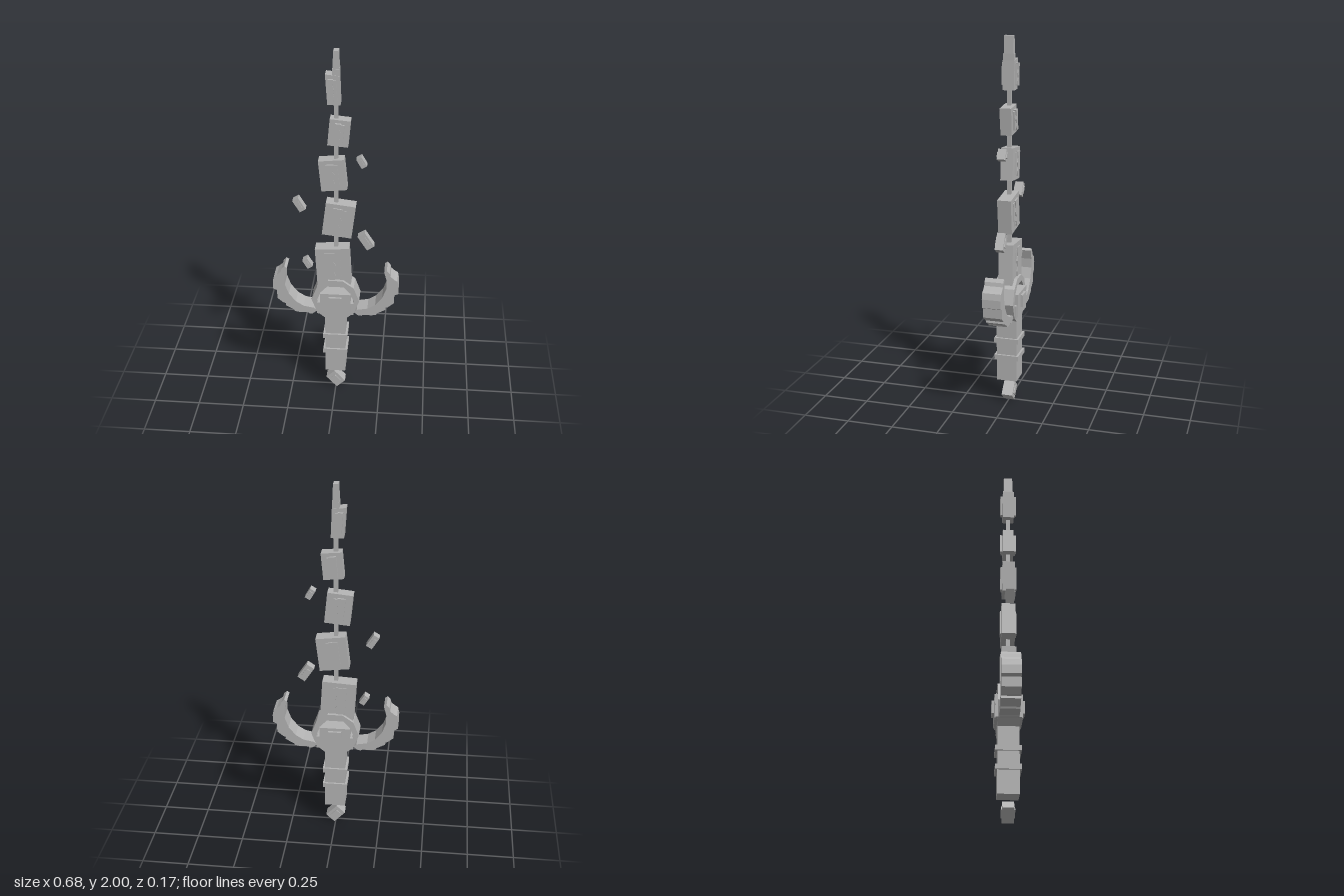
import * as THREE from 'three';

const stone = new THREE.MeshStandardMaterial({ color: 0xb4b4b4 });
stone.name = 'grey stone';

export function createModel() {
  const model = new THREE.Group();
  model.name = 'shatteredSword';

  function add(name, geometry, parent = model) {
    const mesh = new THREE.Mesh(geometry, stone);
    mesh.name = name;
    parent.add(mesh);
    return mesh;
  }
  function box(name, w, h, d, x = 0, y = 0, parent = model) {
    const mesh = add(name, new THREE.BoxGeometry(w, h, d), parent);
    mesh.position.set(x, y, 0);
    return mesh;
  }
  // Flat outline extruded evenly to both sides of z = 0
  function slab(name, points, depth, parent = model, hole) {
    const toVectors = list => list.map(([x, y]) => new THREE.Vector2(x, y));
    const shape = new THREE.Shape(toVectors(points));
    if (hole) shape.holes.push(new THREE.Path(toVectors(hole)));
    const geometry = new THREE.ExtrudeGeometry(shape, { depth, bevelEnabled: false });
    geometry.translate(0, 0, -depth / 2);
    return add(name, geometry, parent);
  }
  const mirror = points => points.map(([x, y]) => [-x, y]).reverse();

  // Raised panel on both faces, split by a jagged crack
  function panel(parent, w, h, depth) {
    const a = w / 2, b = h / 2;
    const crack = [[0.1, -1], [0.3, -0.6], [0.1, -0.3], [0.4, 0.1], [0.15, 0.4], [0.35, 1]]
      .map(([x, y]) => [x * a, y * b]);
    slab('crackedPanel', [[-a, -b], ...crack, [-a, b]], depth, parent);
    box('panelBase', w, h * 0.9, depth - 0.008, 0, 0, parent);
  }

  // Grip with two bands
  box('grip', 0.112, 0.36, 0.112, 0, 0.313);
  for (const y of [0.271, 0.369]) box('gripBand', 0.134, 0.027, 0.134, 0, y);

  // Guard ring around a central block with a gem
  const ringOuter = [[0.056, 0.485], [0.1, 0.52], [0.13, 0.6], [0.1, 0.68], [0.04, 0.722]];
  const ringInner = [[0.05, 0.53], [0.08, 0.55], [0.1, 0.6], [0.08, 0.647], [0.045, 0.685]];
  slab('guardRing', [...ringOuter, ...mirror(ringOuter)], 0.112, model,
    [...ringInner, ...mirror(ringInner)]);
  box('guardBlockLower', 0.2, 0.07, 0.134, 0, 0.553);
  box('guardBlock', 0.166, 0.127, 0.144, 0, 0.5835);
  box('guardGem', 0.072, 0.068, 0.17, 0, 0.596);

  // Stepped crescent horns
  const horn = [
    [0.1, 0.525], [0.125, 0.505], [0.143, 0.504], [0.148, 0.51], [0.2, 0.51], [0.223, 0.515],
    [0.227, 0.524], [0.274, 0.55], [0.272, 0.563], [0.286, 0.567], [0.318, 0.594],
    [0.32, 0.645], [0.332, 0.65], [0.341, 0.655], [0.341, 0.7], [0.334, 0.733],
    [0.318, 0.742], [0.297, 0.76], [0.292, 0.78], [0.276, 0.797], [0.262, 0.787],
    [0.276, 0.735], [0.276, 0.684], [0.255, 0.626], [0.217, 0.578], [0.175, 0.552], [0.117, 0.541],
  ];
  slab('leftHorn', horn, 0.1);
  slab('rightHorn', mirror(horn), 0.1);

  // Rod holding the broken blade together
  box('bladeRod', 0.022, 1.1, 0.022, 0, 1.24);

  // Blade pieces: x, y, width, height, depth, tilt
  const pieces = [
    [-0.014, 0.799, 0.182, 0.22, 0.078, 0.06],
    [0.016, 1.08, 0.158, 0.187, 0.074, -0.12],
    [-0.016, 1.338, 0.134, 0.17, 0.066, 0.1],
    [0.016, 1.573, 0.106, 0.143, 0.06, -0.09],
  ];
  for (const [x, y, w, h, d, tilt] of pieces) {
    const piece = new THREE.Group();
    piece.name = 'bladePiece';
    piece.position.set(x, y, 0);
    piece.rotation.z = tilt;
    model.add(piece);
    box('bladeBody', w, h, d, 0, 0, piece);
    panel(piece, w * 0.46, h * 0.76, 0.088);
  }

  // Blade tip
  slab('tipBody', [[-0.042, 1.724], [0.024, 1.724], [0.018, 1.875], [-0.053, 1.883]], 0.062);
  slab('tipPoint', [[-0.022, 1.8], [0.021, 1.8], [0.013, 2], [-0.013, 2]], 0.048);
  box('tipStep', 0.036, 0.06, 0.056, 0, 1.88);
  const tipPanel = new THREE.Group();
  tipPanel.name = 'tipPanel';
  tipPanel.position.set(-0.015, 1.803, 0);
  tipPanel.rotation.z = 0.07;
  model.add(tipPanel);
  panel(tipPanel, 0.04, 0.115, 0.088);

  // Floating shards and loose pommel: x, y, width, height, depth, tilt
  const shards = [
    ['shard', 0.132, 1.41, 0.031, 0.057, 0.044, 0.53],
    ['shard', -0.194, 1.155, 0.036, 0.075, 0.044, 0.55],
    ['shard', 0.16, 0.953, 0.046, 0.093, 0.044, 0.58],
    ['shard', -0.154, 0.803, 0.031, 0.055, 0.044, 0.55],
    ['pommel', 0, 0.0545, 0.064, 0.087, 0.06, 0.75],
  ];
  for (const [name, x, y, w, h, d, tilt] of shards) {
    const shard = new THREE.Group();
    shard.name = name;
    shard.position.set(x, y, 0);
    shard.rotation.z = tilt;
    model.add(shard);
    box(name + 'Body', w, h, d, 0, 0, shard);
    box(name + 'Plate', w * 0.5, h * 0.55, d + 0.01, 0, 0, shard);
  }

  return model;
}
